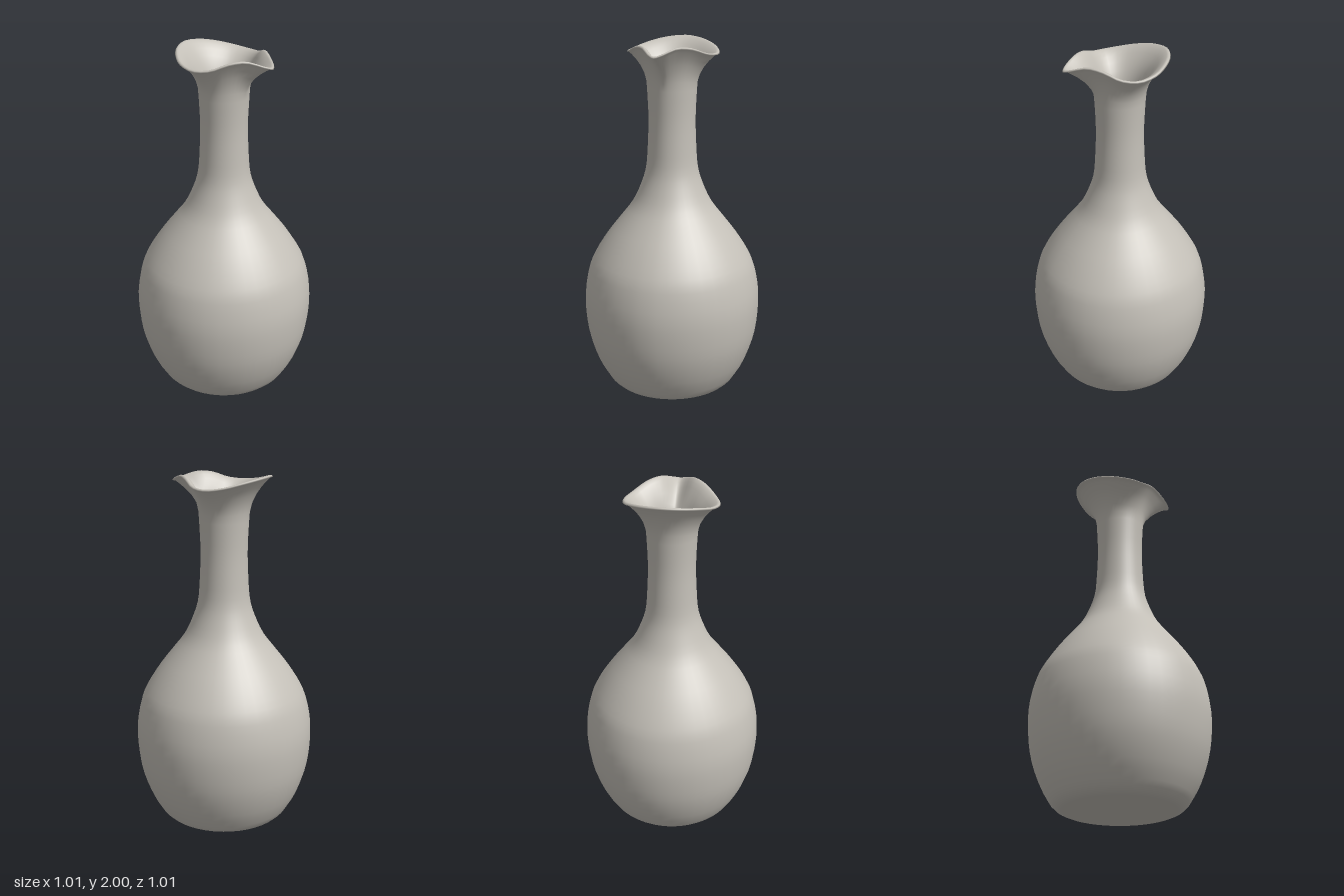
import * as THREE from 'three';

const SEGMENTS = 48;

// Half of the pinched rim, from the spout tip (front) round to the back: x, y, z
const RIM_HALF = [
  [0, 1.952, 0.316], [0.035, 1.962, 0.298], [0.1, 1.99, 0.222], [0.165, 1.982, 0.155],
  [0.228, 1.95, 0.08], [0.259, 1.942, -0.01], [0.236, 1.955, -0.11],
  [0.18, 1.975, -0.185], [0.1, 1.992, -0.245], [0, 2.0, -0.272],
];

// Body outline, radius and height, from foot to neck
const BODY = [
  [0.372, 0.04], [0.43, 0.14], [0.48, 0.28], [0.502, 0.42], [0.504, 0.56], [0.478, 0.7],
  [0.44, 0.79], [0.37, 0.9], [0.293, 1.0], [0.225, 1.09], [0.178, 1.19], [0.147, 1.29],
  [0.136, 1.42], [0.131, 1.58], [0.138, 1.74],
];
const NECK_R = 0.138, NECK_Y = 1.74, WALL = 0.024;

function rimSamples() {
  const mirrored = RIM_HALF.slice(1, -1).reverse().map(([x, y, z]) => [-x, y, z]);
  const pts = [...RIM_HALF, ...mirrored].map(p => new THREE.Vector3(...p));
  const curve = new THREE.CatmullRomCurve3(pts, true, 'centripetal');
  return Array.from({ length: SEGMENTS }, (_, j) => {
    const p = curve.getPoint(j / SEGMENTS);
    return { angle: Math.atan2(p.x, p.z), r: Math.hypot(p.x, p.z), y: p.y };
  });
}

function vaseGeometry() {
  const rim = rimSamples();
  const outline = new THREE.SplineCurve(BODY.map(p => new THREE.Vector2(...p))).getPoints(36);

  // Each ring maps a rim sample to [radius, height]
  const circle = (r, y) => () => [r, y];
  const flare = (t, inset, lift) => s => [
    NECK_R + (s.r - NECK_R) * Math.pow(t, 2.2) - inset,
    NECK_Y + (s.y - NECK_Y) * t + lift,
  ];

  const rings = [
    // flat foot
    circle(0, 0), circle(0.29, 0), circle(0.318, 0.003), circle(0.345, 0.015),
    // outside wall
    ...outline.map(p => circle(p.x, p.y)),
    // flared mouth, rounded lip, and back down inside
    ...[0.2, 0.4, 0.6, 0.75, 0.88, 0.95].map(t => flare(t, 0, 0)),
    flare(1, 0, -0.01), flare(1, 0.004, -0.003), flare(1, 0.012, 0), flare(1, 0.022, -0.004),
    ...[0.93, 0.84, 0.7, 0.5, 0.25].map(t => flare(t, WALL, 0)),
    // inside wall and floor
    ...outline.slice().reverse().map(p => circle(p.x - WALL, p.y)),
    circle(0.31, 0.028), circle(0.28, 0.025), circle(0, 0.025),
  ];

  const positions = [], index = [];
  rings.forEach((ring, i) => rim.forEach((s, j) => {
    const [r, y] = ring(s);
    positions.push(r * Math.sin(s.angle), y, r * Math.cos(s.angle));
    if (i === rings.length - 1) return;
    const k = (j + 1) % SEGMENTS;
    const a = i * SEGMENTS + j, b = i * SEGMENTS + k;
    const c = a + SEGMENTS, d = b + SEGMENTS;
    if (i > 0) index.push(a, b, d);
    else { index.push(a, d, c); return; }
    if (i < rings.length - 2) index.push(a, d, c);
  }));

  const geometry = new THREE.BufferGeometry();
  geometry.setAttribute('position', new THREE.Float32BufferAttribute(positions, 3));
  geometry.setIndex(index);
  geometry.computeVertexNormals();
  return geometry;
}

export function createModel() {
  const model = new THREE.Group();
  model.name = 'spoutedVase';
  const clay = new THREE.MeshStandardMaterial({ color: 0xc4c0b8 });
  clay.name = 'pale clay';
  const vase = new THREE.Mesh(vaseGeometry(), clay);
  vase.name = 'vase';
  model.add(vase);
  return model;
}
